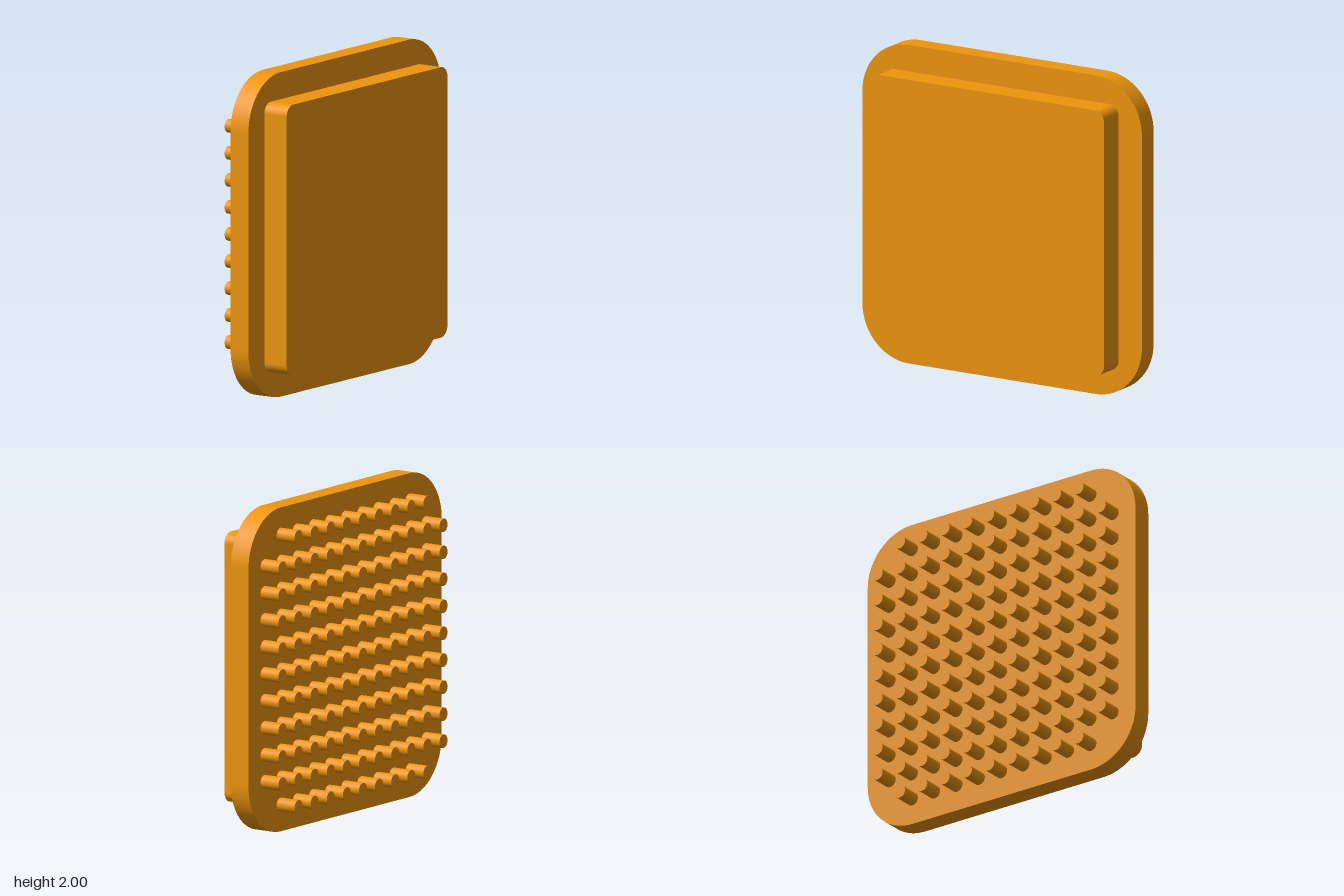
import * as THREE from 'three';

const material = new THREE.MeshStandardMaterial({ color: 0xee950f });

// Square slab with rounded corners, extruded from zBack to zFront
function roundedSlab(name, size, radius, zBack, zFront) {
  const h = size / 2, c = h - radius;
  const shape = new THREE.Shape();
  shape.absarc(c, c, radius, 0, Math.PI / 2);
  shape.absarc(-c, c, radius, Math.PI / 2, Math.PI);
  shape.absarc(-c, -c, radius, Math.PI, Math.PI * 1.5);
  shape.absarc(c, -c, radius, Math.PI * 1.5, Math.PI * 2);
  shape.closePath();
  const geometry = new THREE.ExtrudeGeometry(shape, {
    depth: zFront - zBack, bevelEnabled: false, curveSegments: 24,
  });
  const mesh = new THREE.Mesh(geometry, material);
  mesh.name = name;
  mesh.position.set(0, 1, zBack);
  return mesh;
}

export function createModel() {
  const model = new THREE.Group();
  model.name = 'studdedPad';

  // Base plate and the raised block on its front
  model.add(roundedSlab('basePlate', 2, 0.333, -0.083, 0.05));
  model.add(roundedSlab('raisedBlock', 1.667, 0.067, 0.05, 0.217));

  // 11 x 11 grid of pins on the back, without the four corners
  const pins = new THREE.Group();
  pins.name = 'backPins';
  const pinGeometry = new THREE.CylinderGeometry(0.0417, 0.0417, 0.134, 24);
  pinGeometry.rotateX(Math.PI / 2);
  const pitch = 1 / 6;
  for (let i = -5; i <= 5; i++) {
    for (let j = -5; j <= 5; j++) {
      if (Math.abs(i) === 5 && Math.abs(j) === 5) continue;
      const pin = new THREE.Mesh(pinGeometry, material);
      pin.name = 'pin';
      pin.position.set(i * pitch, 1 + j * pitch, -0.15);
      pins.add(pin);
    }
  }
  model.add(pins);
  return model;
}
